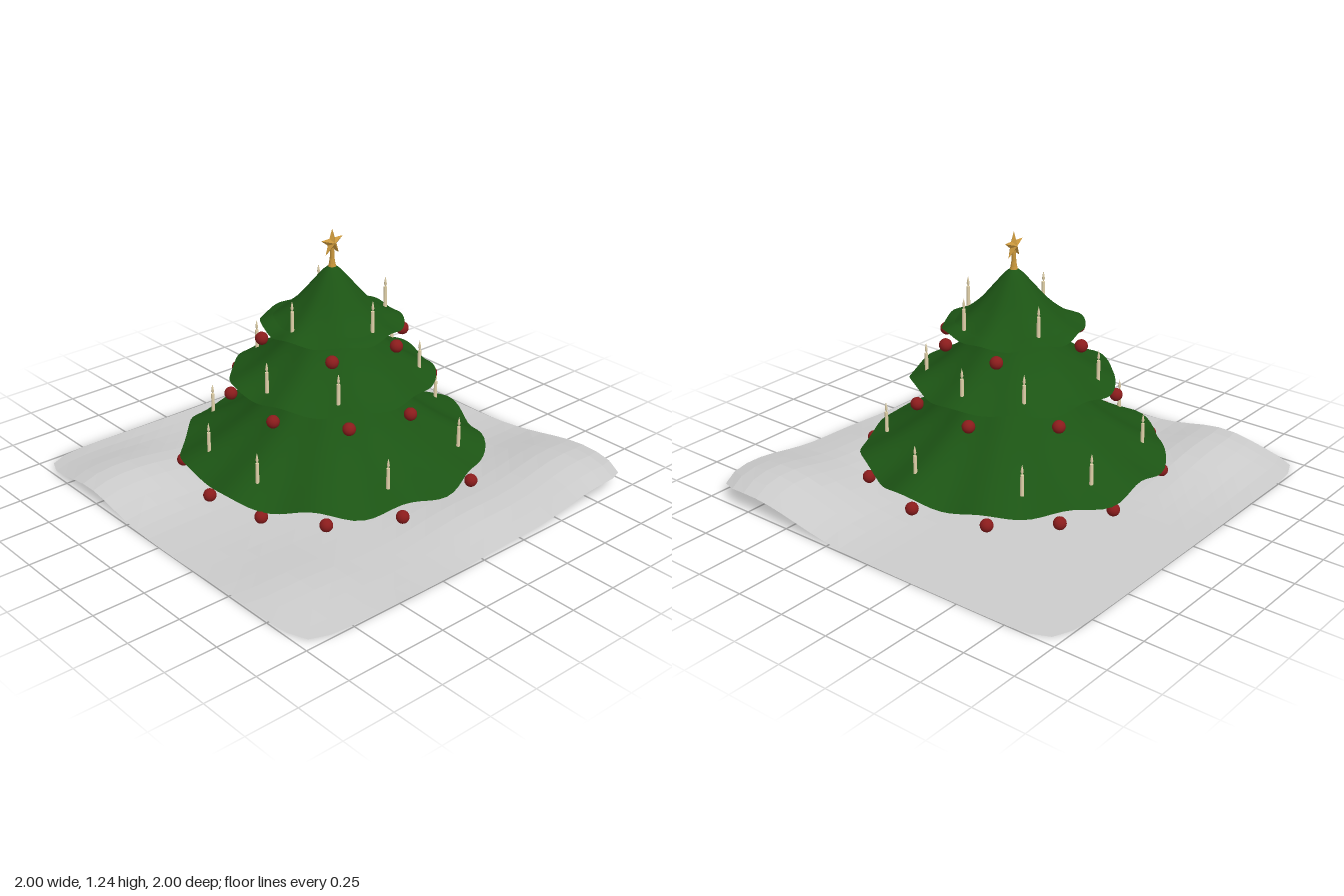
import * as THREE from 'three';
import { mergeVertices } from 'three/addons/utils/BufferGeometryUtils.js';

const mat = (color, extra = {}) => new THREE.MeshStandardMaterial({ color, ...extra });
const green = mat(0x1c5414, { side: THREE.DoubleSide });
const brown = mat(0x4f341a);
const red = mat(0x8a1c1c);
const cream = mat(0xe2d2aa);
const gold = mat(0xc8963c, { flatShading: true });
const snow = mat(0xcccccc, { side: THREE.DoubleSide, flatShading: true });

const points = (pairs) => pairs.map(([r, y]) => new THREE.Vector2(r, y));

function add(parent, name, geometry, material, x = 0, y = 0, z = 0) {
  const mesh = new THREE.Mesh(geometry, material);
  mesh.name = name;
  mesh.position.set(x, y, z);
  parent.add(mesh);
}

// Rolling ground sheet: a grid with softened corners and a few low mounds
function groundGeometry() {
  const mounds = [ // x, z, height, spread in x, spread in z
    [0.8, 0.76, 0.12, 0.36, 0.4],
    [-0.8, -0.58, 0.078, 0.42, 0.27],
    [0.15, 0.72, 0.05, 0.3, 0.3],
    [-0.75, 0.65, 0.03, 0.3, 0.3],
  ];
  const g = new THREE.PlaneGeometry(2, 2, 22, 22).rotateX(-Math.PI / 2);
  const p = g.attributes.position;
  for (let i = 0; i < p.count; i++) {
    const x = p.getX(i), z = p.getZ(i);
    let y = 0;
    for (const [mx, mz, h, sx, sz] of mounds) {
      y += h * Math.exp(-(((x - mx) / sx) ** 2) - ((z - mz) / sz) ** 2);
    }
    p.setXYZ(i, x * (1 - 0.05 * Math.abs(z) ** 14), y, z * (1 - 0.05 * Math.abs(x) ** 14));
  }
  g.computeVertexNormals();
  return g;
}

// Revolved skirt whose folds grow towards the hem
function skirtGeometry(profile, { radius, folds, sag, phase }) {
  let g = new THREE.LatheGeometry(new THREE.SplineCurve(points(profile)).getPoints(14), 96);
  const p = g.attributes.position;
  for (let i = 0; i < p.count; i++) {
    const x = p.getX(i), z = p.getZ(i);
    const a = Math.atan2(z, x);
    const t = Math.hypot(x, z) / radius;
    const wave = 0.7 * Math.sin(folds * a + phase) + 0.3 * Math.sin((folds - 3) * a + 2 * phase);
    const k = 1 + 0.02 * t * Math.sin((folds - 2) * a + phase);
    p.setXYZ(i, x * k, p.getY(i) + sag * t * t * wave, z * k);
  }
  g.deleteAttribute('uv');
  g.deleteAttribute('normal');
  g = mergeVertices(g, 1e-5);
  g.computeVertexNormals();
  return g;
}

// Five-pointed star with a raised centre on both faces
function starGeometry(outer, inner, depth) {
  const pos = [];
  const rim = (i) => {
    const r = i % 2 ? inner : outer, a = Math.PI / 2 + (i * Math.PI) / 5;
    return [r * Math.cos(a), r * Math.sin(a), 0];
  };
  for (let i = 0; i < 10; i++) {
    pos.push(0, 0, depth, ...rim(i), ...rim(i + 1));
    pos.push(0, 0, -depth, ...rim(i + 1), ...rim(i));
  }
  const g = new THREE.BufferGeometry();
  g.setAttribute('position', new THREE.Float32BufferAttribute(pos, 3));
  g.computeVertexNormals();
  return g;
}

// Ring of ornaments: radius, height and angles in degrees from +x towards +z
function ring(parent, { r, y, angles }, make) {
  for (const deg of angles) {
    const a = THREE.MathUtils.degToRad(deg);
    const item = make();
    item.position.set(r * Math.cos(a), y, r * Math.sin(a));
    parent.add(item);
  }
}

const baubleShape = new THREE.SphereGeometry(0.03, 20, 14);
function makeBauble() {
  const bauble = new THREE.Mesh(baubleShape, red);
  bauble.name = 'bauble';
  return bauble;
}

const stickShape = new THREE.CylinderGeometry(0.008, 0.009, 0.1, 10);
const flameShape = new THREE.LatheGeometry(points([[0, 0], [0.007, 0.016], [0.004, 0.035], [0, 0.052]]), 10);
function makeCandle() {
  const candle = new THREE.Group();
  candle.name = 'candle';
  add(candle, 'candleStick', stickShape, cream, 0, 0.05, 0);
  add(candle, 'candleFlame', flameShape, cream, 0, 0.098, 0);
  return candle;
}

// Branch tiers, each profile running from hem to top
const lower = {
  name: 'lowerBranches', radius: 0.705, folds: 11, sag: 0.02, phase: 0.6,
  profile: [[0.705, 0.182], [0.55, 0.262], [0.4, 0.365], [0.29, 0.47], [0.2, 0.56], [0.11, 0.63]],
  baubles: { r: 0.7, y: 0.14, angles: [1, 32, 67, 105, 133, 157, 182, 212, 245, 283, 305, 331] },
  candles: { r: 0.6, y: 0.235, angles: [8, 56, 107, 164, 200, 239, 287, 318] },
};
const middle = {
  name: 'middleBranches', radius: 0.47, folds: 9, sag: 0.014, phase: 1.9,
  profile: [[0.47, 0.545], [0.38, 0.59], [0.29, 0.655], [0.21, 0.735], [0.16, 0.81], [0.09, 0.87]],
  baubles: { r: 0.475, y: 0.485, angles: [28, 84, 122, 164, 207, 242, 297, 346] },
  candles: { r: 0.4, y: 0.567, angles: [47, 127, 177, 249, 315, 356] },
};
const upper = {
  name: 'upperBranches', radius: 0.322, folds: 8, sag: 0.012, phase: 3.4,
  profile: [[0.322, 0.797], [0.25, 0.83], [0.17, 0.895], [0.1, 0.975], [0.04, 1.045], [0.001, 1.072]],
  baubles: { r: 0.325, y: 0.738, angles: [32, 69, 131, 209, 253, 335] },
  candles: { r: 0.262, y: 0.822, angles: [19, 88, 173, 297] },
};

export function createModel() {
  const model = new THREE.Group();
  model.name = 'decoratedTree';

  add(model, 'ground', groundGeometry(), snow);
  add(model, 'trunk', new THREE.CylinderGeometry(0.055, 0.074, 0.4, 20), brown, 0.008, 0.2, 0);

  for (const t of [lower, middle, upper]) {
    const tier = new THREE.Group();
    tier.name = t.name;
    model.add(tier);

    // Upper skirt and the shallow hollow beneath it share the same wavy hem
    const [hemR, hemY] = t.profile[0];
    const under = [[0.04, hemY + 0.09], [hemR * 0.5, hemY + 0.06], [hemR * 0.85, hemY + 0.022], [hemR, hemY]];
    add(tier, 'skirt', skirtGeometry(t.profile, t), green);
    add(tier, 'underside', skirtGeometry(under, t), green);
    ring(tier, t.baubles, makeBauble);
    ring(tier, t.candles, makeCandle);
  }

  // Star on its flared holder
  const holder = points([[0.022, 1.05], [0.015, 1.075], [0.011, 1.1], [0.009, 1.15]]);
  add(model, 'starHolder', new THREE.LatheGeometry(holder, 12), gold);
  add(model, 'star', starGeometry(0.066, 0.027, 0.02), gold, 0, 1.172, 0);

  return model;
}
